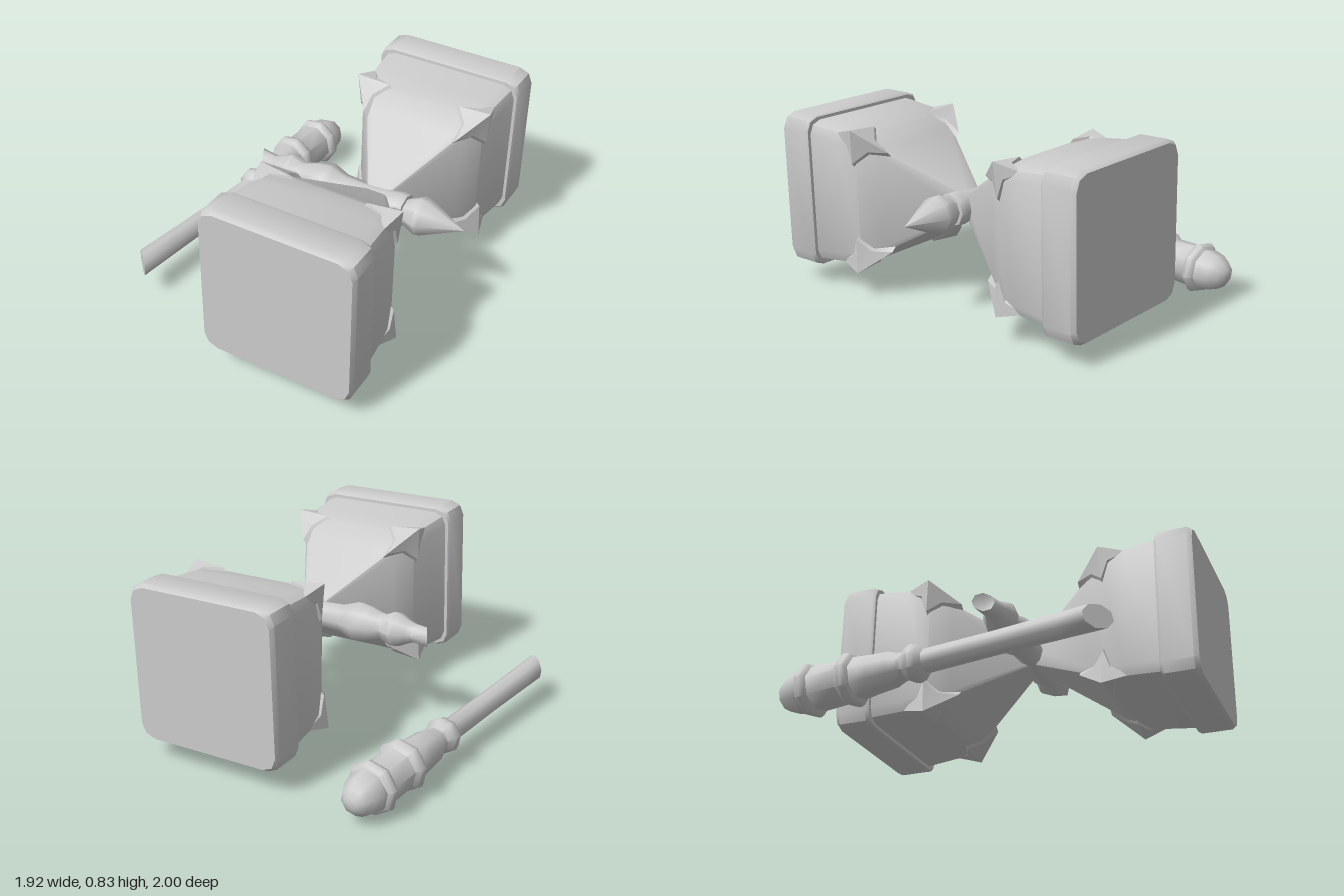
import * as THREE from 'three';
import { toCreasedNormals } from 'three/addons/utils/BufferGeometryUtils.js';

const material = new THREE.MeshStandardMaterial({ color: 0xcccccc, side: THREE.DoubleSide });

function mesh(name, geometry, crease = 0.9) {
  const m = new THREE.Mesh(toCreasedNormals(geometry, crease), material);
  m.name = name;
  return m;
}

// Solid along +x with rounded square sections [x, half size, corner radius]
function squareLoft(sections) {
  const pos = [], index = [], n = 12;
  for (const [x, h, r] of sections) {
    for (let k = 0; k < 4; k++) {
      for (let i = 0; i < 3; i++) {
        const a = k * Math.PI / 2 + i * Math.PI / 4, q = (k + 0.5) * Math.PI / 2;
        const c = (h - r) * Math.SQRT2;
        pos.push(x, c * Math.cos(q) + r * Math.cos(a), c * Math.sin(q) + r * Math.sin(a));
      }
    }
  }
  for (let s = 0; s < sections.length - 1; s++) {
    for (let j = 0; j < n; j++) {
      const a = s * n + j, b = s * n + (j + 1) % n;
      index.push(a, b, b + n, a, b + n, a + n);
    }
  }
  // End face
  const last = (sections.length - 1) * n;
  pos.push(sections[sections.length - 1][0], 0, 0);
  for (let j = 0; j < n; j++) index.push(last + j, last + (j + 1) % n, last + n);
  const g = new THREE.BufferGeometry();
  g.setAttribute('position', new THREE.Float32BufferAttribute(pos, 3));
  g.setIndex(index);
  return g;
}

// Four-pointed stud folded over one corner of the head
function starGeometry() {
  const rim = [
    [0.55, 0.305, 0.305], [0.46, 0.325, 0.265], [0.43, 0.325, 0.18], [0.37, 0.285, 0.235],
    [0.29, 0.235, 0.235], [0.37, 0.235, 0.285], [0.43, 0.18, 0.325], [0.46, 0.265, 0.325],
  ];
  const pos = [0.42, 0.338, 0.338, ...rim.flat()], index = [];
  // Lower rim sunk into the head
  for (const [x, y, z] of rim) pos.push(x, y - 0.04, z - 0.04);
  for (let i = 0; i < 8; i++) {
    const a = 1 + i, b = 1 + (i + 1) % 8;
    index.push(0, b, a, a, b, b + 8, a, b + 8, a + 8);
  }
  const g = new THREE.BufferGeometry();
  g.setAttribute('position', new THREE.Float32BufferAttribute(pos, 3));
  g.setIndex(index);
  return g;
}

function turned(profile, sides = 8) {
  return new THREE.LatheGeometry(profile.map(([r, y]) => new THREE.Vector2(r, y)), sides);
}

// Move the vertices of a geometry by a rule
function reshape(geometry, rule) {
  const p = geometry.attributes.position, v = new THREE.Vector3();
  for (let i = 0; i < p.count; i++) {
    rule(v.fromBufferAttribute(p, i));
    p.setXYZ(i, v.x, v.y, v.z);
  }
  return geometry;
}

function headHalf(name) {
  const half = new THREE.Group();
  half.name = name;
  half.add(mesh('taperedBlock', squareLoft([
    [0, 0.05, 0.015], [0.33, 0.245, 0.03], [0.42, 0.308, 0.05], [0.53, 0.328, 0.06], [0.7, 0.342, 0.06],
  ]), 0.6));
  half.add(mesh('strikingPlate', squareLoft([
    [0.68, 0.3, 0.06], [0.685, 0.355, 0.06], [0.7, 0.364, 0.065], [0.835, 0.364, 0.065], [0.856, 0.352, 0.065],
  ]), 0.7));
  for (let k = 0; k < 4; k++) {
    const star = mesh('starStud', starGeometry(), 0.5);
    star.rotation.x = k * Math.PI / 2;
    half.add(star);
  }
  return half;
}

export function createModel() {
  const model = new THREE.Group();
  model.name = 'brokenHammer';

  // Head: two mirrored halves meeting at a narrow waist
  const head = new THREE.Group();
  head.name = 'head';
  head.position.set(0.09, 0.468, 0.165);
  head.rotation.set(0.025, 0.69, 0, 'YXZ');
  const right = headHalf('rightHalf'), left = headHalf('leftHalf');
  left.rotation.y = Math.PI;
  head.add(right, left);

  // Broken shaft stub through the waist, with bent splintered end
  const stub = turned([
    [0, -0.58], [0.045, -0.6], [0.045, -0.54], [0.055, -0.51], [0.08, -0.46], [0.083, -0.44], [0.06, -0.39],
    [0.068, -0.36], [0.085, -0.31], [0.095, -0.25], [0.085, -0.22], [0.068, -0.17], [0.063, -0.06],
    [0.068, 0.03], [0.082, 0.12], [0.075, 0.15], [0, 0.16],
  ]);
  reshape(stub, v => {
    if (v.y < -0.57) {
      v.y -= 0.5 * (v.x + 0.02);
      v.x += 0.015;
    }
  });
  const spike = turned([[0, 0.13], [0.055, 0.14], [0.09, 0.22], [0.086, 0.245], [0, 0.435]]);
  for (const [name, g] of [['shaftStub', stub], ['topSpike', spike]]) {
    g.rotateX(Math.PI / 2);
    head.add(mesh(name, g));
  }
  model.add(head);

  // Broken-off handle lying behind the head, cut at a slant
  const direction = new THREE.Vector3(0.831, -0.032, -0.556).normalize();
  const side = new THREE.Vector3(-0.556, 0, -0.831);
  const handle = new THREE.Group();
  handle.name = 'handle';
  handle.position.set(-0.965, 0.17, -0.125);
  handle.quaternion.setFromUnitVectors(new THREE.Vector3(0, 1, 0), direction);

  const shaft = turned([[0, 0], [0.055, 0], [0.053, 0.2], [0.05, 0.5], [0.052, 0.82], [0.06, 0.84]]);
  reshape(shaft, v => {
    if (v.y < 0.01) v.y += 0.8 * (v.dot(side) + 0.05);
  });
  handle.add(mesh('brokenShaft', shaft));

  handle.add(mesh('grip', turned([
    [0.05, 0.81], [0.075, 0.83], [0.084, 0.86], [0.08, 0.88], [0.06, 0.91], [0.063, 0.93],
    [0.078, 0.97], [0.085, 1.06], [0.094, 1.14],
    [0.113, 1.15], [0.12, 1.17], [0.113, 1.195], [0.096, 1.21],
    [0.1, 1.35], [0.115, 1.36], [0.122, 1.38], [0.115, 1.4], [0.098, 1.41],
  ])));
  handle.add(mesh('pommel', turned([
    [0.098, 1.4], [0.096, 1.43], [0.085, 1.475], [0.06, 1.515], [0.03, 1.535], [0, 1.54],
  ])));
  model.add(handle);
  return model;
}
